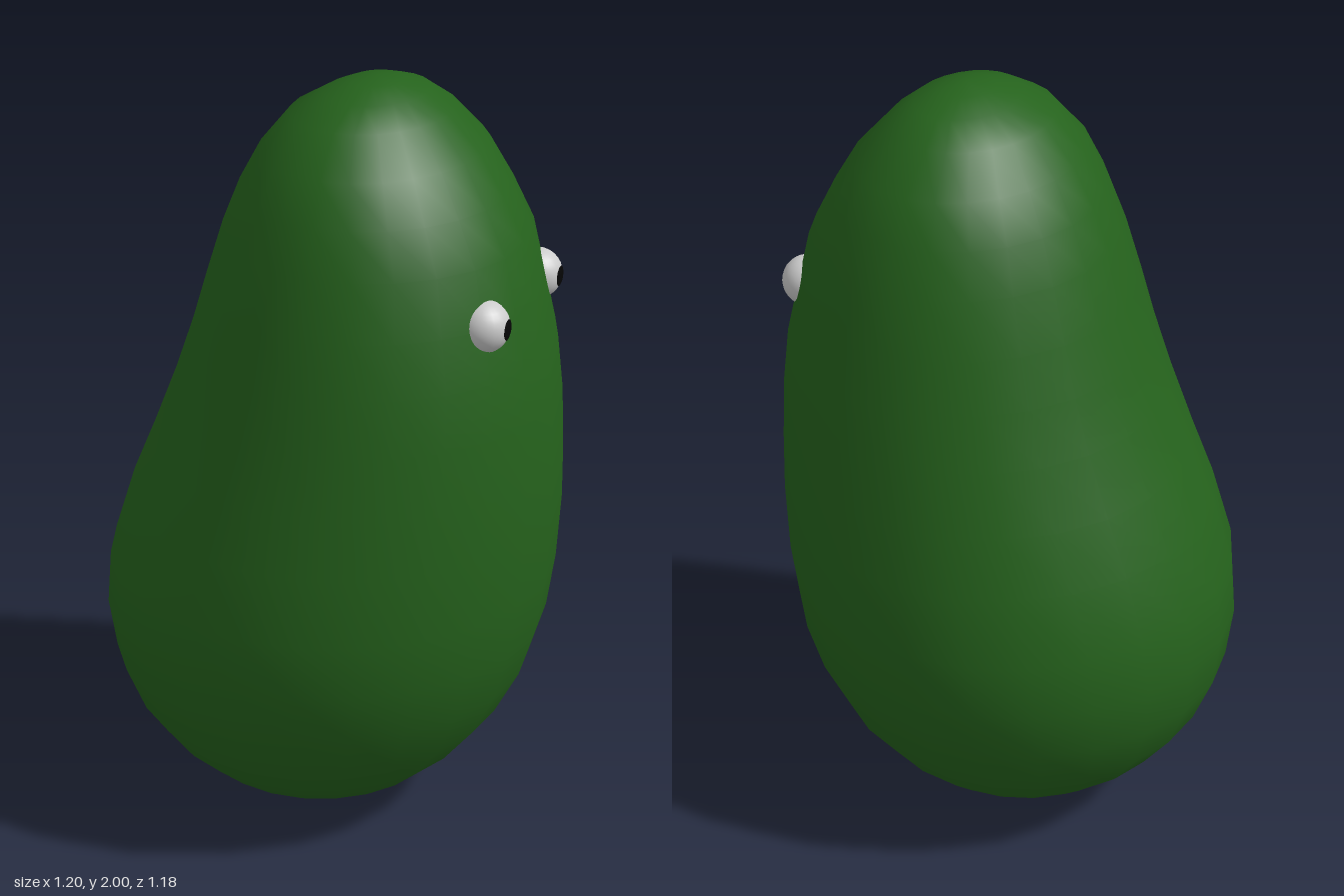
import * as THREE from 'three';
import { mergeVertices } from 'three/addons/utils/BufferGeometryUtils.js';

// Body cross-sections: [height, x min, x max, half depth]
const SECTIONS = [
  [0, -0.05, -0.05, 0], [0.015, -0.15, 0.06, 0.11], [0.05, -0.26, 0.18, 0.22],
  [0.11, -0.37, 0.295, 0.33], [0.19, -0.46, 0.38, 0.415], [0.3, -0.54, 0.465, 0.495],
  [0.43, -0.59, 0.53, 0.55], [0.57, -0.605, 0.57, 0.585], [0.72, -0.59, 0.59, 0.59],
  [0.9, -0.53, 0.6, 0.567], [1.05, -0.465, 0.598, 0.54], [1.21, -0.4, 0.59, 0.513],
  [1.35, -0.35, 0.573, 0.487], [1.48, -0.31, 0.54, 0.46], [1.62, -0.265, 0.505, 0.425],
  [1.73, -0.22, 0.447, 0.385], [1.83, -0.165, 0.385, 0.335], [1.92, -0.09, 0.3, 0.245],
  [1.965, -0.01, 0.24, 0.165], [1.99, 0.05, 0.18, 0.08], [2, 0.12, 0.12, 0],
];
const SIDES = 24;

// Turned profile whose rings are shifted and stretched along x
function bodyGeometry() {
  const profile = SECTIONS.map(([y, , , depth]) => new THREE.Vector2(depth, y));
  const lathe = new THREE.LatheGeometry(profile, SIDES);
  const pos = lathe.attributes.position;
  for (let i = 0; i < pos.count; i++) {
    const [, x0, x1, depth] = SECTIONS[i % SECTIONS.length];
    const stretch = depth > 0 ? (x1 - x0) / 2 / depth : 1;
    pos.setX(i, (x0 + x1) / 2 + pos.getX(i) * stretch);
  }
  // Weld the seam and the poles so the shading is continuous
  lathe.deleteAttribute('uv');
  lathe.deleteAttribute('normal');
  const welded = mergeVertices(lathe, 1e-4);
  welded.computeVertexNormals();
  return welded;
}

export function createModel() {
  const model = new THREE.Group();
  const skin = new THREE.MeshStandardMaterial({ color: 0x25621c });
  const white = new THREE.MeshStandardMaterial({ color: 0xcccccc });
  const black = new THREE.MeshStandardMaterial({ color: 0x050505 });

  const body = new THREE.Mesh(bodyGeometry(), skin);
  body.name = 'body';
  model.add(body);

  // Eyes set into the +x side, each with a pupil cap facing +x
  const ballGeometry = new THREE.SphereGeometry(0.065, 24, 16);
  const pupilGeometry = new THREE.SphereGeometry(0.0665, 20, 5, 0, Math.PI * 2, 0, 0.4);
  pupilGeometry.rotateZ(-Math.PI / 2);
  for (const side of [1, -1]) {
    const eye = new THREE.Group();
    eye.name = side > 0 ? 'frontEye' : 'backEye';
    const ball = new THREE.Mesh(ballGeometry, white);
    ball.name = 'eyeball';
    const pupil = new THREE.Mesh(pupilGeometry, black);
    pupil.name = 'pupil';
    eye.add(ball, pupil);
    eye.position.set(0.472, 1.478, side * 0.198);
    model.add(eye);
  }
  return model;
}
